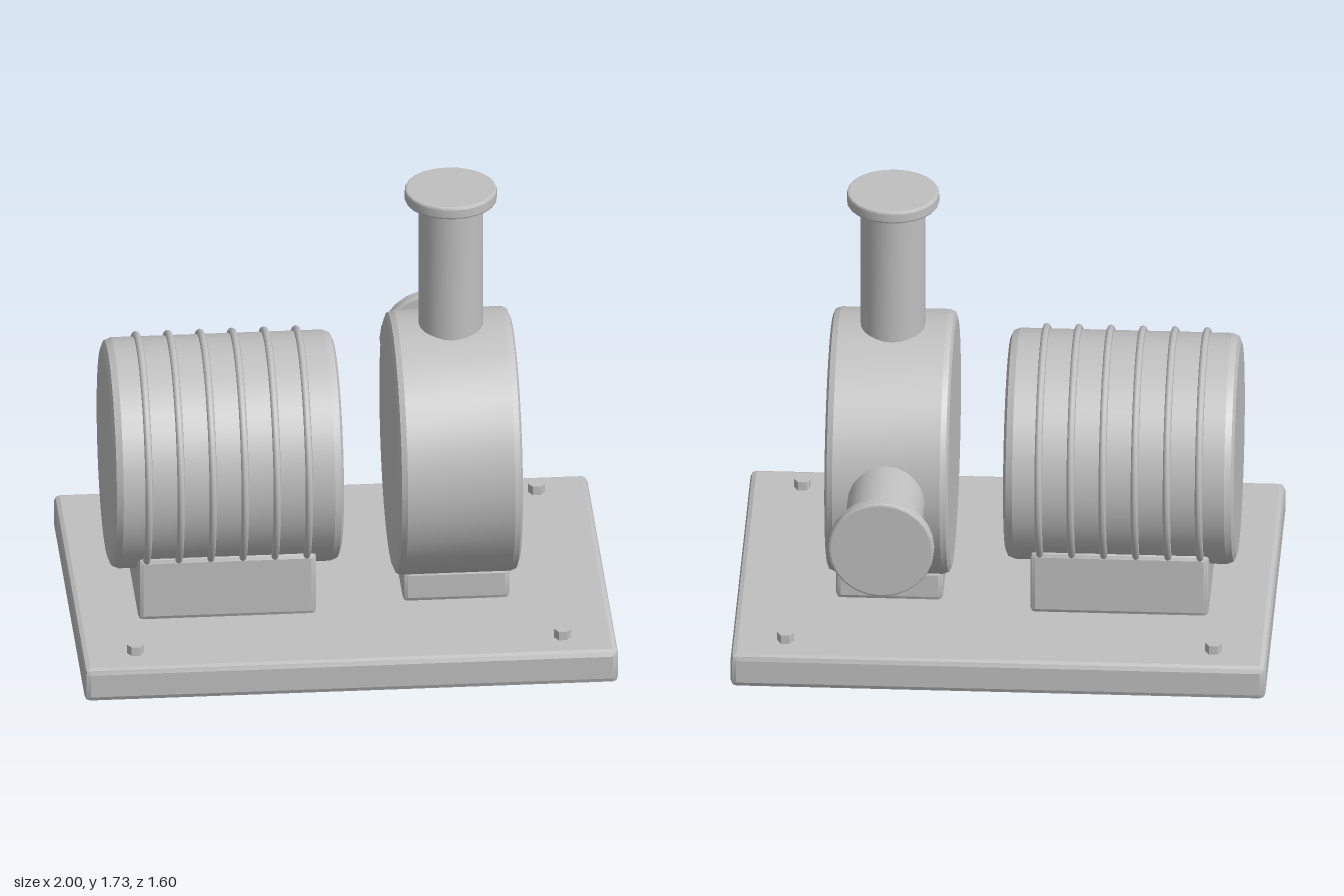
import * as THREE from 'three';
import { toCreasedNormals } from 'three/addons/utils/BufferGeometryUtils.js';
import { RoundedBoxGeometry } from 'three/addons/geometries/RoundedBoxGeometry.js';

const CREASE = 0.38;

// Solid drum along +y from y = 0, with softened rims
function drumGeometry(radius, length, bevel, sides) {
  const pts = [new THREE.Vector2(0, 0)];
  for (let i = 0; i <= 2; i++) {
    const a = (i * Math.PI) / 4;
    pts.push(new THREE.Vector2(radius - bevel + bevel * Math.sin(a), bevel - bevel * Math.cos(a)));
  }
  for (let i = 0; i <= 2; i++) {
    const a = (i * Math.PI) / 4;
    pts.push(new THREE.Vector2(radius - bevel + bevel * Math.cos(a), length - bevel + bevel * Math.sin(a)));
  }
  pts.push(new THREE.Vector2(0, length));
  return toCreasedNormals(new THREE.LatheGeometry(pts, sides), CREASE);
}

export function createModel() {
  const model = new THREE.Group();
  model.name = 'pumpUnit';
  const metal = new THREE.MeshStandardMaterial({ color: 0xc0c0c0 });
  metal.name = 'grey metal';

  const axisY = 0.67, axisZ = 0.067, pumpX = 0.43;

  function add(name, geometry, x, y, z, parent = model) {
    const mesh = new THREE.Mesh(geometry, metal);
    mesh.name = name;
    mesh.position.set(x, y, z);
    parent.add(mesh);
    return mesh;
  }

  // Block given by its minimum and maximum corners
  function block(name, min, max, bevel) {
    const s = max.map((v, i) => v - min[i]);
    const g = toCreasedNormals(new RoundedBoxGeometry(s[0], s[1], s[2], 1, bevel), CREASE);
    return add(name, g, ...max.map((v, i) => (v + min[i]) / 2));
  }

  // Base plate and feet
  block('basePlate', [-1, 0, -0.667], [1, 0.135, 0.8], 0.022);
  block('motorFoot', [-0.767, 0.13, -0.267], [-0.1, 0.385, 0.4], 0.018);
  block('pumpFoot', [0.23, 0.13, -0.193], [0.63, 0.258, 0.327], 0.018);

  // Hexagonal bolts at the plate corners
  for (const x of [-0.8, 0.8]) {
    for (const z of [-0.535, 0.665]) {
      const hex = toCreasedNormals(new THREE.CylinderGeometry(0.032, 0.032, 0.06, 6), CREASE);
      add('bolt', hex, x, 0.14, z).rotation.y = Math.PI / 2;
    }
  }

  // Motor drum with cooling rings
  add('motorBody', drumGeometry(0.432, 0.863, 0.035, 40), -0.865, axisY, axisZ).rotation.z = -Math.PI / 2;
  for (let i = 0; i < 6; i++) {
    const ring = new THREE.TorusGeometry(0.438, 0.014, 8, 40);
    add('coolingRing', ring, -0.735 + i * 0.12, axisY, axisZ).rotation.y = Math.PI / 2;
  }

  // Pump casing
  add('pumpCasing', drumGeometry(0.497, 0.463, 0.03, 32), 0.2, axisY, axisZ).rotation.z = -Math.PI / 2;

  // Flanged pipe starting inside the casing, pointing along its own +y
  function flangedPipe(name, radius, flangeRadius, length) {
    const pipe = new THREE.Group();
    pipe.name = name;
    pipe.position.set(pumpX, axisY, axisZ);
    const tube = toCreasedNormals(new THREE.CylinderGeometry(radius, radius, length - 0.33, 24), CREASE);
    add(name + 'Tube', tube, 0, 0.3 + (length - 0.33) / 2, 0, pipe);
    add(name + 'Flange', drumGeometry(flangeRadius, 0.05, 0.009, 24), 0, length - 0.05, 0, pipe);
    model.add(pipe);
    return pipe;
  }
  flangedPipe('outlet', 0.121, 0.173, 1.06);
  flangedPipe('inlet', 0.145, 0.198, 0.867).rotation.x = -Math.PI / 2;

  return model;
}
